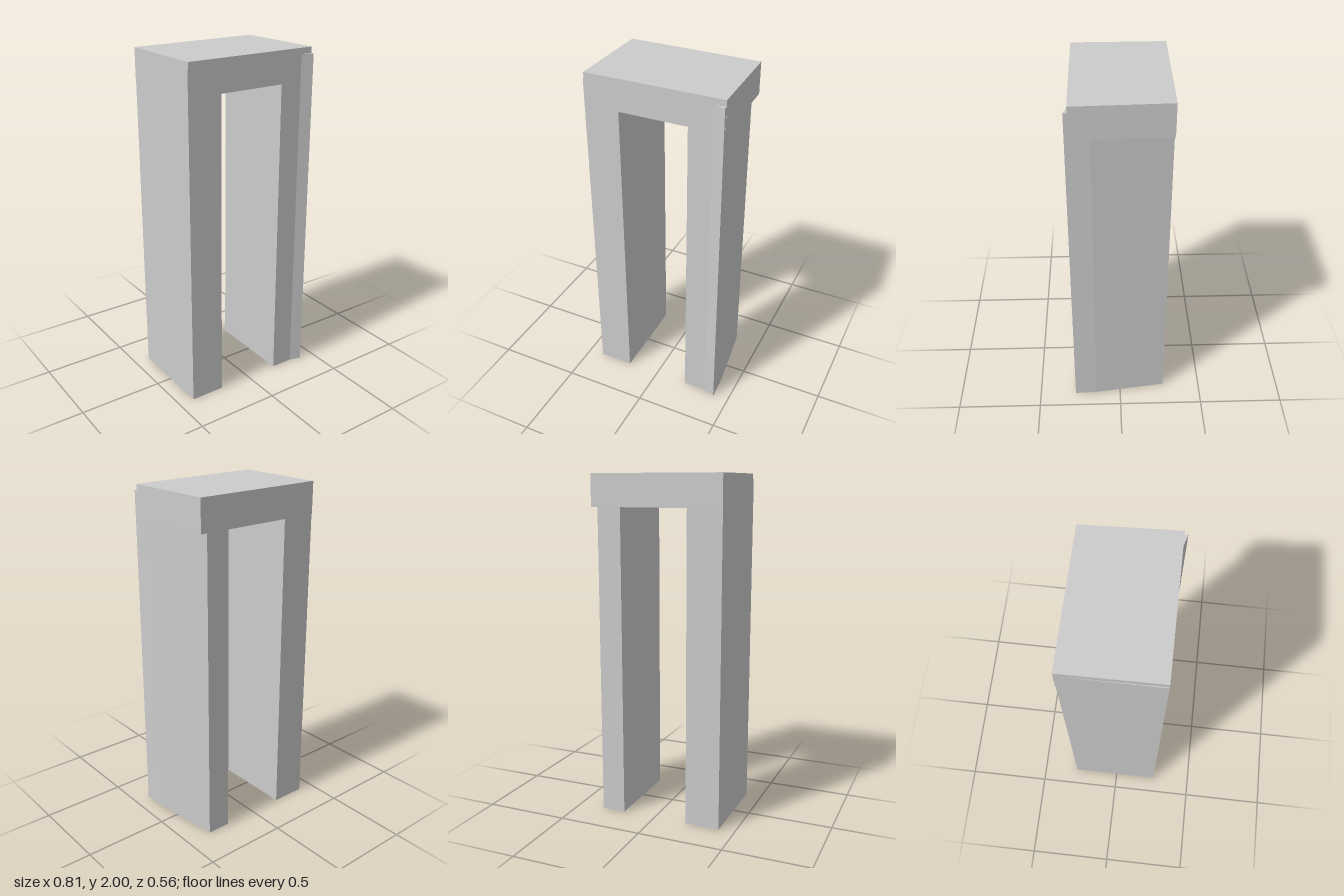
import * as THREE from 'three';

const material = new THREE.MeshStandardMaterial({ color: 0xcccccc, flatShading: true });

// Upright prism from a plan outline of [x, z] corners
function prism(name, outline, bottom, top) {
  const shape = new THREE.Shape(outline.map(([x, z]) => new THREE.Vector2(x, -z)));
  const geometry = new THREE.ExtrudeGeometry(shape, { depth: top - bottom, bevelEnabled: false });
  geometry.rotateX(-Math.PI / 2).translate(0, bottom, 0);
  const mesh = new THREE.Mesh(geometry, material);
  mesh.name = name;
  return mesh;
}

export function createModel() {
  const group = new THREE.Group();
  group.name = 'stoneGateway';

  // Right-angled pillar on the -x side
  group.add(prism('rightPillar', [
    [-0.405, 0.26], [-0.2, 0.26], [-0.2, -0.277], [-0.405, -0.28],
  ], 0, 1.965));

  // Worn pillar on the +x side: flared front corner, outer face tapering to the back
  group.add(prism('leftPillar', [
    [0.2, 0.26], [0.335, 0.26], [0.405, 0.28], [0.4, 0.15], [0.342, -0.274], [0.2, -0.275],
  ], 0, 1.965));

  // Slightly skewed slab across the top
  group.add(prism('lintel', [
    [-0.4, 0.26], [0.405, 0.26], [0.382, -0.275], [-0.405, -0.283],
  ], 1.815, 2));

  return group;
}
